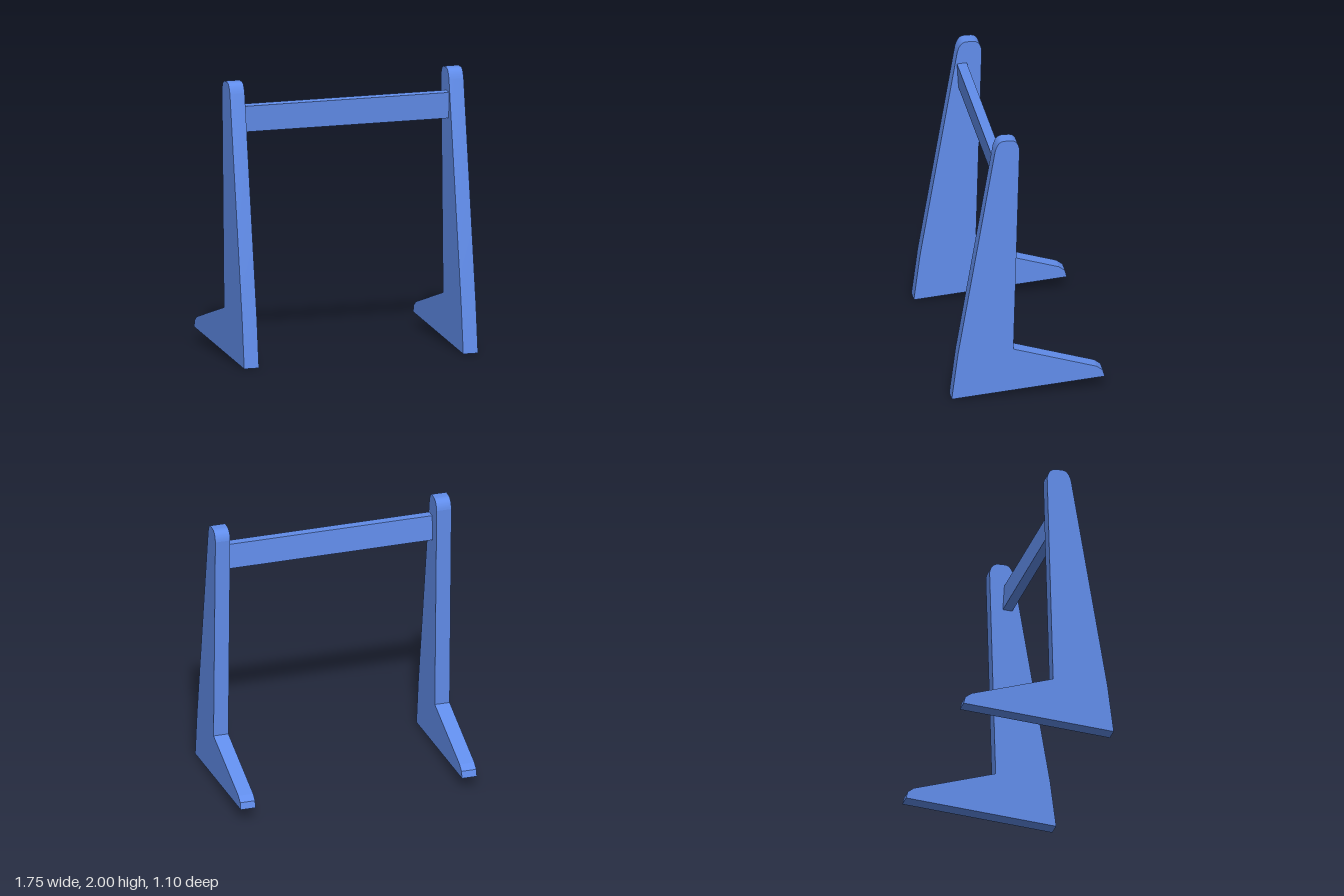
import * as THREE from 'three';
import { toCreasedNormals } from 'three/addons/utils/BufferGeometryUtils.js';

const material = new THREE.MeshStandardMaterial({ color: 0x618deb });
const INNER = 0.765, OUTER = 0.875;

// Side outline of a leg with its rear foot, drawn in (z, y)
function legGeometry() {
  const s = new THREE.Shape();
  s.moveTo(0.55, 0);
  s.lineTo(-0.548, 0.095);
  s.lineTo(-0.535, 0.145); // chamfered toe
  s.lineTo(-0.49, 0.178);
  s.lineTo(0.107, 0.36);
  s.lineTo(0.063, 1.925);
  s.bezierCurveTo(0.069, 1.972, 0.09, 2, 0.13, 2); // rounded top
  s.lineTo(0.17, 2);
  s.bezierCurveTo(0.207, 2, 0.224, 1.972, 0.238, 1.925);
  s.lineTo(0.505, 0.35);
  s.closePath();
  const g = new THREE.ExtrudeGeometry(s, {
    depth: OUTER - INNER, bevelEnabled: false, curveSegments: 20,
  });
  g.translate(0, 0, -(OUTER - INNER) / 2);
  g.rotateY(-Math.PI / 2);
  return toCreasedNormals(g, 0.15);
}

export function createModel() {
  const model = new THREE.Group();
  model.name = 'standFrame';

  // Two matching side legs
  const geometry = legGeometry();
  for (const [name, side] of [['leftLeg', 1], ['rightLeg', -1]]) {
    const leg = new THREE.Mesh(geometry, material);
    leg.name = name;
    leg.position.x = side * (INNER + OUTER) / 2;
    model.add(leg);
  }

  // Crossbar, leaning slightly forward
  const bar = new THREE.Mesh(new THREE.BoxGeometry(INNER * 2, 0.188, 0.07), material);
  bar.name = 'crossbar';
  bar.position.set(0, 1.74, 0.2);
  bar.rotation.x = 0.06;
  model.add(bar);

  return model;
}
